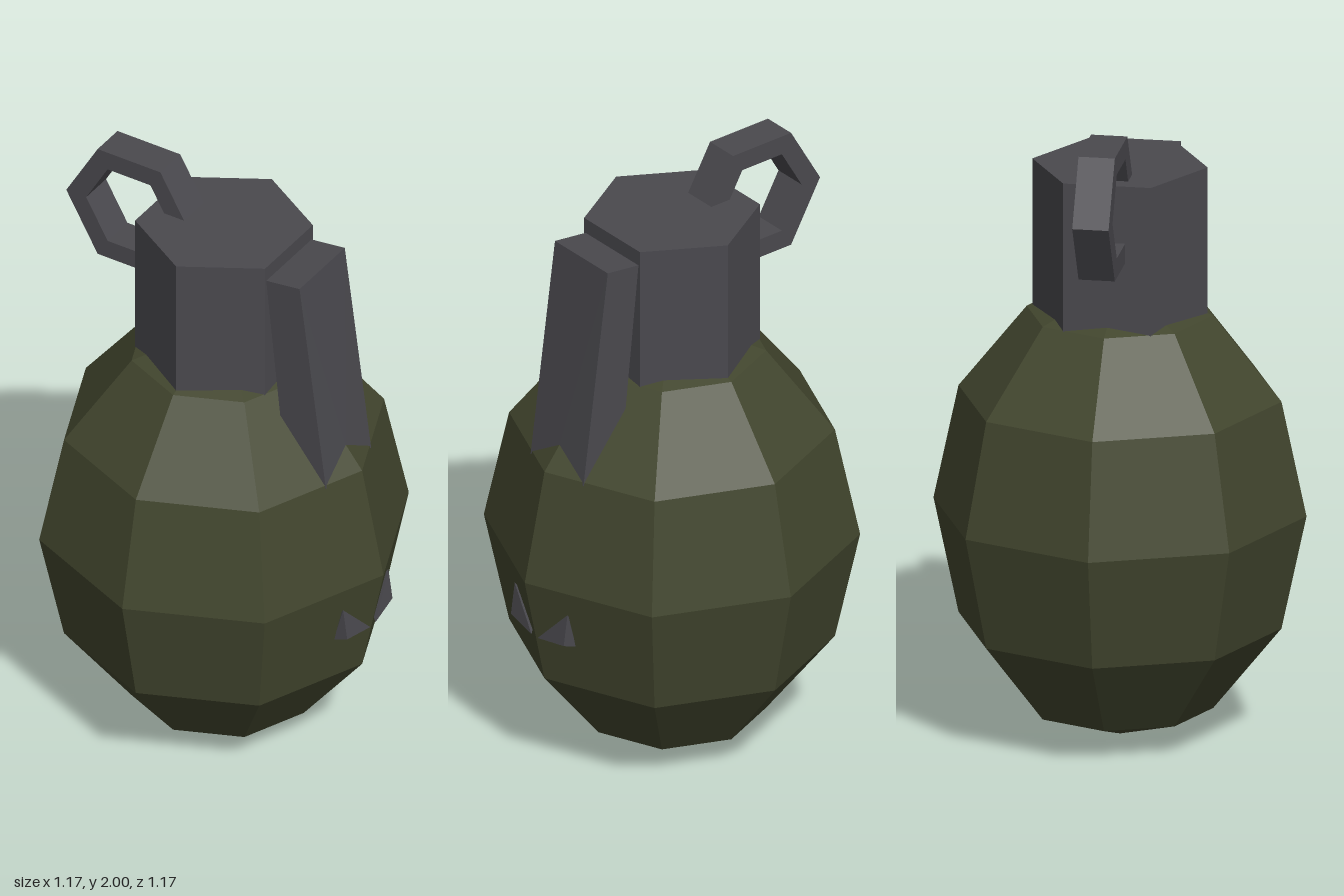
import * as THREE from 'three';
import { ConvexGeometry } from 'three/addons/geometries/ConvexGeometry.js';

const olive = new THREE.MeshStandardMaterial({ name: 'olive paint', color: 0x42462e, flatShading: true });
const metal = new THREE.MeshStandardMaterial({ name: 'dark metal', color: 0x4a494e, flatShading: true, side: THREE.DoubleSide });

function addPart(group, name, geometry, material) {
  const mesh = new THREE.Mesh(geometry, material);
  mesh.name = name;
  group.add(mesh);
  return mesh;
}

// Regular hexagon outline with corners on the x axis
function hexagon(radius, target) {
  const points = [];
  for (let i = 0; i < 6; i++) {
    const a = (i * Math.PI) / 3;
    points.push(new THREE.Vector2(Math.cos(a) * radius, Math.sin(a) * radius));
  }
  return target.setFromPoints(points);
}

// Bent sheet lever: top, sloping outer plate with notched end, two cheeks
function leverGeometry() {
  const w = 0.13;
  const corners = [];
  for (const z of [w, -w]) {
    corners.push([0.238, 1.8, z], [0.36, 1.815, z], [0.457, 1.09, z], [0.29, 1.3, z]);
  }
  corners.push([0.447, 1.175, 0]);
  const faces = [
    0, 1, 5, 0, 5, 4, // top
    1, 2, 8, 1, 8, 5, 5, 8, 6, // outer plate
    0, 3, 2, 0, 2, 1, // front cheek
    4, 5, 6, 4, 6, 7, // back cheek
  ];
  const geometry = new THREE.BufferGeometry();
  geometry.setAttribute('position', new THREE.Float32BufferAttribute(corners.flat(), 3));
  geometry.setIndex(faces);
  const flat = geometry.toNonIndexed();
  flat.computeVertexNormals();
  return flat;
}

export function createModel() {
  const model = new THREE.Group();
  model.name = 'grenade';

  // Faceted egg-shaped body
  const body = addPart(model, 'body', new THREE.SphereGeometry(0.585, 8, 6), olive);
  body.scale.y = 0.735 / 0.585;
  body.position.y = 0.735;

  // Hexagonal fuse collar
  const collar = addPart(model, 'fuseCollar', new THREE.CylinderGeometry(0.275, 0.275, 0.5, 6), metal);
  collar.position.y = 1.6;

  // Pull ring
  const outline = hexagon(0.23, new THREE.Shape());
  outline.holes.push(hexagon(0.157, new THREE.Path()));
  const ringGeometry = new THREE.ExtrudeGeometry(outline, { depth: 0.114, bevelEnabled: false });
  ringGeometry.translate(-0.312, 1.801, -0.057);
  addPart(model, 'pullRing', ringGeometry, metal);

  // Safety lever
  addPart(model, 'safetyLever', leverGeometry(), metal);

  // Pair of small spurs on the side of the body
  for (const s of [1, -1]) {
    const points = [
      [0.52, 0.655, 0.13], [0.485, 0.53, 0.13], [0.535, 0.55, 0.13],
      [0.546, 0.532, 0.015], [0.45, 0.57, 0.1],
    ].map(([x, y, z]) => new THREE.Vector3(x, y, z * s));
    addPart(model, s > 0 ? 'frontSpur' : 'backSpur', new ConvexGeometry(points), metal);
  }

  return model;
}
